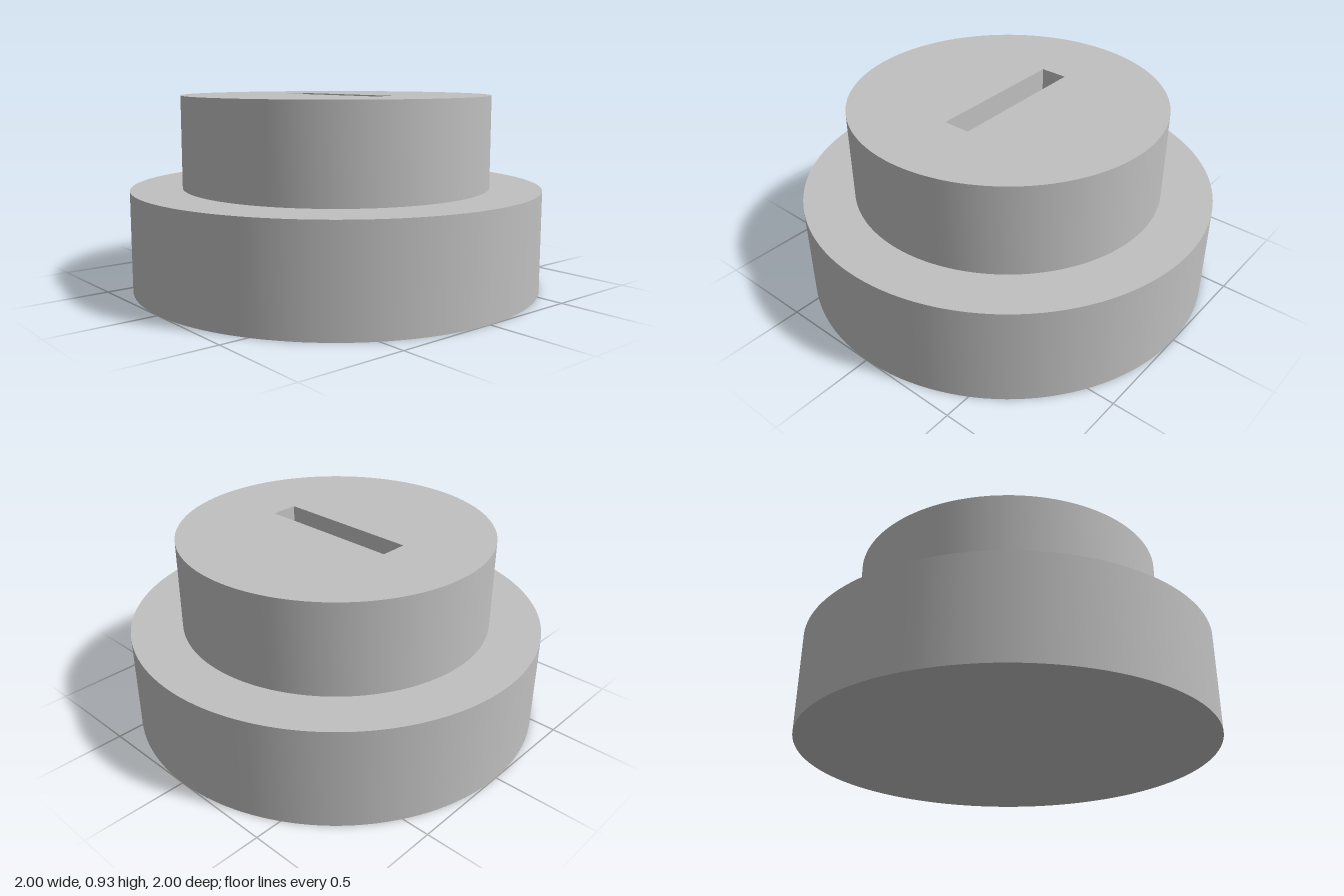
import * as THREE from 'three';
import { toCreasedNormals } from 'three/addons/utils/BufferGeometryUtils.js';

const BASE_HEIGHT = 0.485;
const TOTAL_HEIGHT = 0.93;

export function createModel() {
  const model = new THREE.Group();
  model.name = 'slottedPlug';
  const grey = new THREE.MeshStandardMaterial({ color: 0xc0c0c0 });
  grey.name = 'plain grey';

  // Wide solid disc; its top is also the floor of the slot
  const base = new THREE.Mesh(new THREE.CylinderGeometry(1, 1, BASE_HEIGHT, 128), grey);
  base.name = 'base';
  base.position.y = BASE_HEIGHT / 2;
  model.add(base);

  // Narrower boss with a rectangular slot cut into it
  const outline = new THREE.Shape().absarc(0, 0, 0.753, 0, Math.PI * 2, false);
  const slot = new THREE.Path([
    new THREE.Vector2(-0.356, -0.067),
    new THREE.Vector2(-0.356, 0.067),
    new THREE.Vector2(0.356, 0.067),
    new THREE.Vector2(0.356, -0.067),
  ]);
  slot.closePath();
  outline.holes.push(slot);
  const bossGeometry = new THREE.ExtrudeGeometry(outline, {
    depth: TOTAL_HEIGHT - BASE_HEIGHT,
    bevelEnabled: false,
    curveSegments: 64,
  });
  bossGeometry.rotateX(-Math.PI / 2);
  const boss = new THREE.Mesh(toCreasedNormals(bossGeometry, 0.5), grey);
  boss.name = 'slottedBoss';
  boss.position.y = BASE_HEIGHT;
  model.add(boss);

  return model;
}
